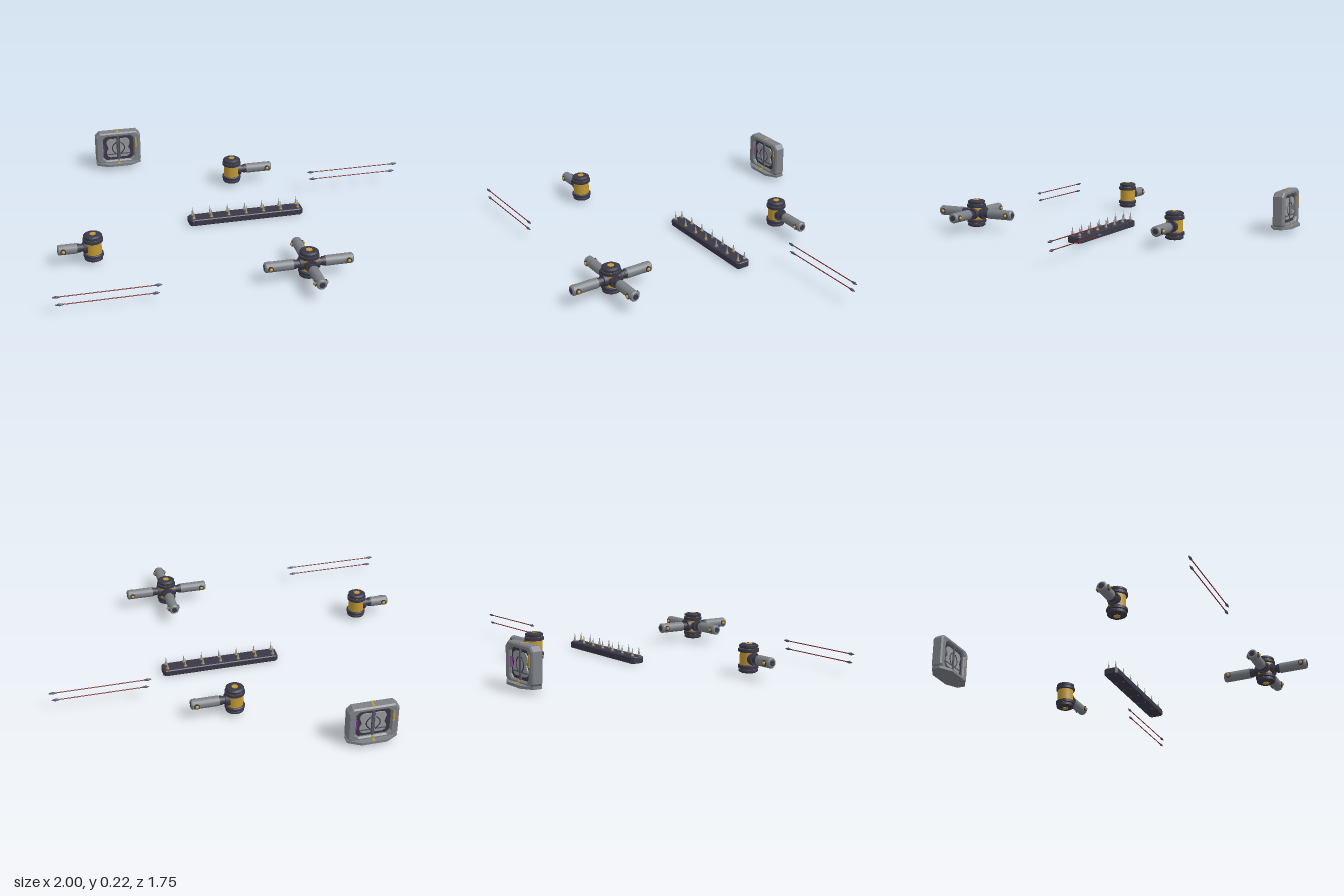
import * as THREE from 'three';

const mat = (color, extra = {}) => Object.assign(new THREE.MeshStandardMaterial({ color }), extra);
const dark = mat(0x3a3848), grey = mat(0x7d8186), gold = mat(0xc29a34), pale = mat(0x96999a);
const red = mat(0x7a2a2a), purple = mat(0x8a3a9a), steel = mat(0x55586a);

function add(parent, name, geo, material, x = 0, y = 0, z = 0) {
  const m = new THREE.Mesh(geo, material);
  m.name = name;
  m.position.set(x, y, z);
  parent.add(m);
  return m;
}

function group(parent, name, x = 0, y = 0, z = 0) {
  const g = new THREE.Group();
  g.name = name;
  g.position.set(x, y, z);
  parent.add(g);
  return g;
}

// Cylinder lying along x from a to b
function rodX(parent, name, r0, r1, a, b, material, sides = 20) {
  const m = add(parent, name, new THREE.CylinderGeometry(r1, r0, b - a, sides), material, (a + b) / 2);
  m.rotation.z = -Math.PI / 2;
  return m;
}

// Polygon extruded along z, centred on z = 0
function slab(points, depth, bevel = 0) {
  const shape = new THREE.Shape(points.map(([x, y]) => new THREE.Vector2(x, y)));
  return extrude(shape, depth, bevel);
}
function extrude(shape, depth, bevel = 0) {
  const d = depth - 2 * bevel;
  return new THREE.ExtrudeGeometry(shape, {
    depth: d, bevelEnabled: bevel > 0, bevelSize: bevel, bevelThickness: bevel,
    bevelOffset: -bevel, bevelSegments: 1, curveSegments: 8,
  }).translate(0, 0, -d / 2);
}

// Rectangle with cut corners
const cutRect = (w, h, c) => [
  [-w + c, -h], [w - c, -h], [w, -h + c], [w, h - c], [w - c, h], [-w + c, h], [-w, h - c], [-w, -h + c],
];

// Arm with neck, ring and cross pin, pointing along +x
function makeArm(parent, angle, length) {
  const g = group(parent, 'arm');
  g.rotation.y = angle;
  rodX(g, 'armPort', 0.033, 0.03, 0.03, 0.05, dark);
  rodX(g, 'armNeck', 0.02, 0.02, 0.045, 0.075, dark);
  rodX(g, 'armRing', 0.023, 0.023, 0.066, 0.084, dark);
  rodX(g, 'armTube', 0.026, 0.026, 0.08, length - 0.006, grey);
  rodX(g, 'armEnd', 0.026, 0.021, length - 0.006, length, grey);
  rodX(g, 'armSocket', 0.014, 0.014, length - 0.01, length + 0.001, dark);
  const px = length - 0.026;
  for (const s of [-1, 1]) {
    add(g, 'pinWasher', new THREE.CylinderGeometry(0.014, 0.014, 0.01, 16), dark, px, 0, s * 0.024)
      .rotation.x = Math.PI / 2;
    add(g, 'pinHead', new THREE.SphereGeometry(0.009, 12, 8), gold, px, 0, s * 0.029);
  }
}

// Upright drum with flanged ends
function makeHub(root, name, x, z, angles, length) {
  const g = group(root, name, x, 0.083, z);
  add(g, 'drum', new THREE.CylinderGeometry(0.042, 0.042, 0.1, 28), gold);
  const cap = [[0, 0.07], [0.036, 0.07], [0.046, 0.064], [0.046, 0.055], [0.042, 0.053],
    [0.042, 0.049], [0.05, 0.047], [0.05, 0.034], [0.046, 0.031], [0.04, 0.031]];
  for (const s of [1, -1]) {
    const end = group(g, s > 0 ? 'topCap' : 'bottomCap');
    if (s < 0) end.rotation.x = Math.PI;
    // each profile segment is turned separately so its edges stay sharp
    for (let i = cap.length - 1; i > 0; i--) {
      const pts = [cap[i], cap[i - 1]].map(([r, y]) => new THREE.Vector2(r, y));
      add(end, 'flange', new THREE.LatheGeometry(pts, 28), dark);
    }
    add(end, 'capBolt', new THREE.CylinderGeometry(0.017, 0.017, 0.004, 6), gold, 0, 0.0705);
  }
  for (const a of angles) makeArm(g, a, length);
}

// Strip with two rows of spikes
function makeSpikeStrip(root) {
  const g = group(root, 'spikeStrip', 0.09, 0, -0.028);
  const base = extrude(new THREE.Shape(cutRect(0.305, 0.038, 0.012).map(p => new THREE.Vector2(...p))), 0.034, 0.004);
  add(g, 'stripBase', base.rotateX(-Math.PI / 2), dark, 0, 0.017);
  for (let i = -3; i <= 3; i++) for (const s of [-1, 1]) {
    const x = i * 0.0935, z = s * 0.02;
    add(g, 'spikeCollar', new THREE.CylinderGeometry(0.01, 0.011, 0.006, 12), steel, x, 0.036, z);
    add(g, 'spikeFoot', new THREE.CylinderGeometry(0.006, 0.008, 0.006, 12), gold, x, 0.041, z);
    add(g, 'spike', new THREE.ConeGeometry(0.006, 0.042, 10), pale, x, 0.062, z);
    add(g, 'undersideStud', new THREE.CylinderGeometry(0.006, 0.006, 0.003, 8), steel, x, 0.0005, z);
  }
}

// Framed shield standing on a tapered foot
function makeShield(root) {
  const g = group(root, 'shield', -0.46, 0.02, -0.822);
  const foot = slab([[-0.064, -0.057], [0.064, -0.057], [0.125, -0.022], [0.125, 0.022],
    [0.064, 0.057], [-0.064, 0.057], [-0.125, 0.022], [-0.125, -0.022]], 0.013);
  add(g, 'foot', foot.rotateX(-Math.PI / 2), grey, 0, 0.0065, 0);

  const body = group(g, 'body', 0, 0.098, 0);
  const frame = new THREE.Shape(cutRect(0.126, 0.096, 0.022).map(p => new THREE.Vector2(...p)));
  frame.holes.push(new THREE.Path(cutRect(0.087, 0.072, 0.018).reverse().map(p => new THREE.Vector2(...p))));
  add(body, 'frame', extrude(frame, 0.058, 0.007), grey);
  add(body, 'backing', slab(cutRect(0.095, 0.08, 0.02), 0.028), dark);
  for (const face of [0, Math.PI]) {
    const f = group(body, 'face');
    f.rotation.y = face;
    // Pair of rounded plates with a dark inlay, mirrored about the strap
    for (const s of [-1, 1]) {
      const half = new THREE.Shape();
      half.moveTo(s * 0.01, -0.055);
      half.lineTo(s * 0.045, -0.055);
      half.quadraticCurveTo(s * 0.07, -0.05, s * 0.066, -0.02);
      half.lineTo(s * 0.056, 0.0);
      half.lineTo(s * 0.066, 0.03);
      half.quadraticCurveTo(s * 0.066, 0.055, s * 0.04, 0.057);
      half.lineTo(s * 0.01, 0.055);
      add(f, 'panelPlate', extrude(half, 0.008), pale, 0, 0, 0.016);
      const arc = new THREE.QuadraticBezierCurve3(new THREE.Vector3(s * 0.012, 0.035, 0),
        new THREE.Vector3(s * 0.058, 0.0, 0), new THREE.Vector3(s * 0.012, -0.035, 0));
      add(f, 'panelGroove', new THREE.TubeGeometry(arc, 12, 0.003, 6), dark, 0, 0, 0.02);
      add(f, 'crossBar', new THREE.BoxGeometry(0.055, 0.006, 0.008), steel, s * 0.04, -0.036, 0.018);
    }
    add(f, 'strap', new THREE.BoxGeometry(0.012, 0.144, 0.012), steel, 0, 0, 0.016);
    add(f, 'lowerClip', new THREE.BoxGeometry(0.01, 0.024, 0.008), gold, 0, -0.084, 0.027);
    add(f, 'footClip', new THREE.BoxGeometry(0.01, 0.003, 0.028), gold, 0, -0.0845, 0.042);
    add(f, 'sideMark', new THREE.BoxGeometry(0.009, 0.06, 0.005), gold, 0.1, 0.03, 0.029);
    add(f, 'sideLight', new THREE.BoxGeometry(0.005, 0.05, 0.01), purple, -0.083, 0.0, 0.019);
  }
  add(body, 'topClip', new THREE.BoxGeometry(0.01, 0.003, 0.045), gold, 0, 0.096, 0);
}

// Two parallel thin rods with pointed ends
function makeRodPair(root, name, x, z, yTop, yLow) {
  const g = group(root, name, x, 0, z);
  for (const [y, half] of [[yTop, 0.255], [yLow, 0.243]]) {
    const rod = group(g, 'rod', 0, y, 0);
    rodX(rod, 'shaft', 0.0025, 0.0025, -half + 0.02, half - 0.02, red, 8);
    for (const s of [0, Math.PI]) {
      const end = group(rod, 'rodEnd');
      end.rotation.y = s;
      rodX(end, 'tipCollar', 0.004, 0.007, half - 0.035, half - 0.018, steel, 10);
      rodX(end, 'tip', 0.007, 0.002, half - 0.018, half, steel, 10);
      rodX(end, 'tipPoint', 0.003, 0.003, half - 0.003, half, purple, 8);
    }
  }
}

export function createModel() {
  const root = new THREE.Group();
  root.name = 'equipmentSet';
  const q = Math.PI / 2;
  makeHub(root, 'leftwardHub', -0.75, 0.25, [Math.PI], 0.176);
  makeHub(root, 'rightwardHub', 0.115, -0.445, [0], 0.222);
  makeHub(root, 'crossHub', 0.234, 0.648, [0, q, 2 * q, 3 * q], 0.221);
  makeSpikeStrip(root);
  makeShield(root);
  makeRodPair(root, 'backRods', 0.745, -0.237, 0.12, 0.078);
  makeRodPair(root, 'frontRods', -0.745, 0.702, 0.092, 0.05);
  return root;
}
